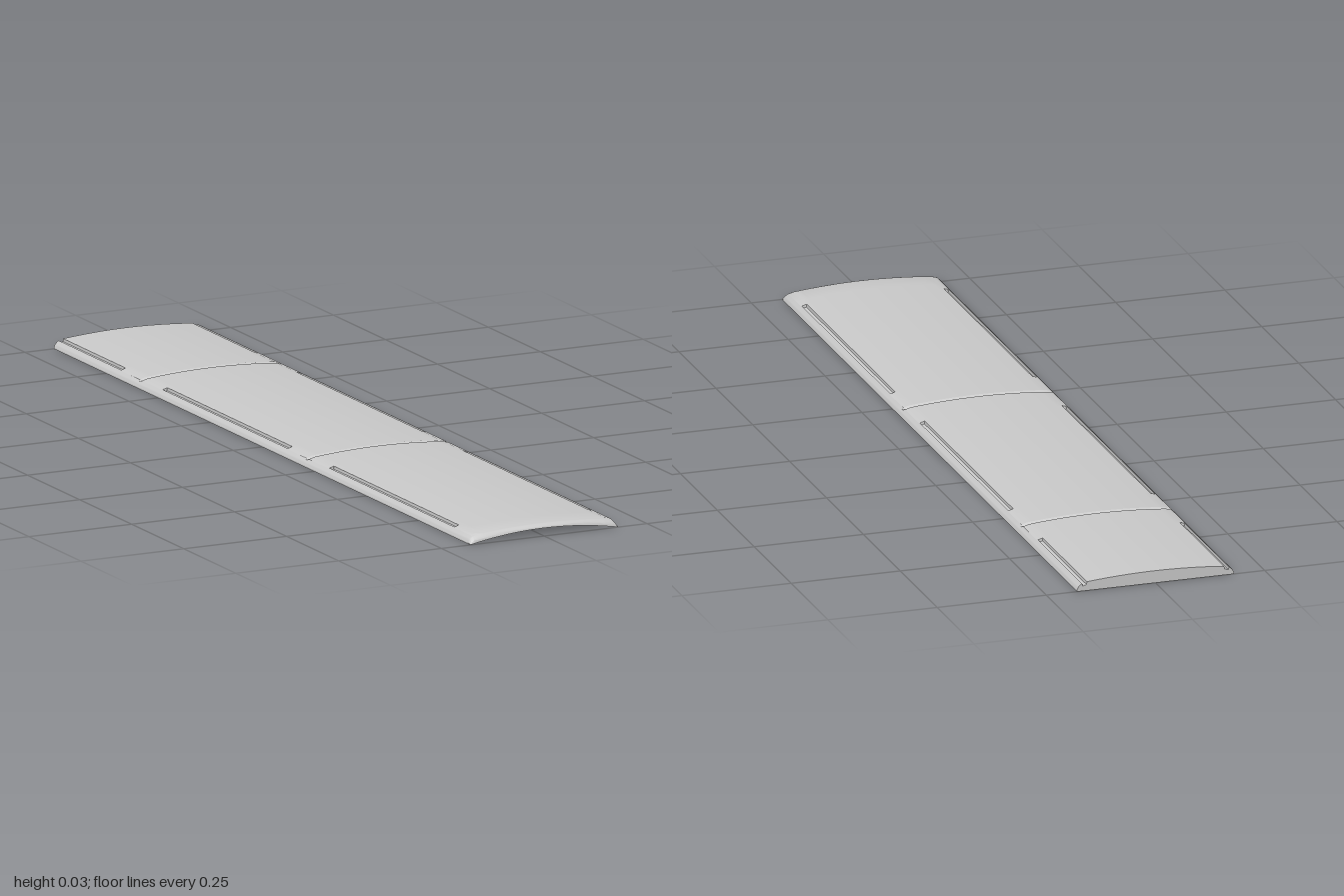
import * as THREE from 'three';
import { toCreasedNormals } from 'three/addons/utils/BufferGeometryUtils.js';

const HALF = 0.18;
const SLOTS = [[-1.1, -0.7], [-0.5, 0.1], [0.3, 0.9]]; // long side slots, in z
const SEAMS = [-0.6, 0.2];                             // cross seams, in z
const SLOT_IN = 0.157, SLOT_OUT = 0.168, NOSE = 0.02;

// Cambered top with rounded-off side edges
const EDGE = [[0.157, 0.0203], [0.17, 0.0165], [0.176, 0.011], [0.18, 0.003]];
function crown(x) {
  const a = Math.abs(x);
  if (a <= EDGE[0][0]) return 0.028 - 0.0077 * (a / EDGE[0][0]) ** 2;
  for (let i = 1; i < EDGE.length; i++) {
    const [x0, y0] = EDGE[i - 1], [x1, y1] = EDGE[i];
    if (a <= x1 + 1e-6) return y0 + (y1 - y0) * (a - x0) / (x1 - x0);
  }
  return 0;
}

// Underside: arched at the front lip, flat at the back
const lip = x => 0.018 * (1 - (x / HALF) ** 2);
const underside = (x, z) => lip(x) * (z + 1) / 2;

function topHeight(x, z) {
  const a = Math.abs(x);
  let y = crown(x);
  if (a > SLOT_IN + 0.0005 && a < SLOT_OUT - 0.0005 &&
      SLOTS.some(([s, e]) => z > s + 0.0005 && z < e - 0.0005)) y -= 0.006;
  if (a < 0.172 && SEAMS.some(s => Math.abs(z - s) < 0.001)) y -= 0.003;
  if (z > 1 - NOSE) {
    const t = (z - 1 + NOSE) / NOSE;
    y = lip(x) + (y - lip(x)) * Math.sqrt(Math.max(0, 1 - t * t));
  }
  return y;
}

function plankGeometry() {
  // Columns across the width, mirrored
  const half = [];
  for (let i = 1; i <= 14; i++) half.push(i * 0.011);
  half.push(SLOT_IN, SLOT_IN + 0.001, SLOT_OUT - 0.001, SLOT_OUT, 0.17, 0.173, 0.176, 0.178, HALF);
  const xs = [...half.map(x => -x).reverse(), 0, ...half];

  // Stations along the length
  const zs = [-1, 1];
  for (let z = -0.9; z < 0.95; z += 0.1) zs.push(z + 0.03);
  for (const s of SEAMS) zs.push(s - 0.006, s, s + 0.006);
  for (const [s, e] of SLOTS) {
    if (s > -1) zs.push(s, s + 0.001);
    zs.push(e - 0.001, e);
  }
  for (let i = 0; i < 8; i++) zs.push(1 - NOSE + NOSE * Math.sin(i / 8 * Math.PI / 2));
  zs.sort((a, b) => a - b);

  const n = xs.length, ring = 2 * n, pos = [], idx = [];
  for (const z of zs) {
    for (const x of xs) pos.push(x, topHeight(x, z), z);
    for (let i = n - 1; i >= 0; i--) pos.push(xs[i], underside(xs[i], z), z);
  }
  for (let j = 0; j < zs.length - 1; j++) {
    for (let i = 0; i < ring; i++) {
      const k = (i + 1) % ring;
      const a = j * ring + i, b = j * ring + k, c = b + ring, d = a + ring;
      idx.push(a, d, c, a, c, b);
    }
  }
  // Flat back end
  for (let i = 0; i < n - 1; i++) {
    const bi = ring - 1 - i, bk = bi - 1;
    idx.push(i, i + 1, bk, i, bk, bi);
  }
  const geo = new THREE.BufferGeometry();
  geo.setAttribute('position', new THREE.Float32BufferAttribute(pos, 3));
  geo.setIndex(idx);
  return toCreasedNormals(geo, 0.4);
}

export function createModel() {
  const group = new THREE.Group();
  group.name = 'camberedPlank';
  const material = new THREE.MeshStandardMaterial({ color: 0xcccccc, side: THREE.DoubleSide });
  const plank = new THREE.Mesh(plankGeometry(), material);
  plank.name = 'plankWithSlotsAndSeams';
  group.add(plank);
  return group;
}
